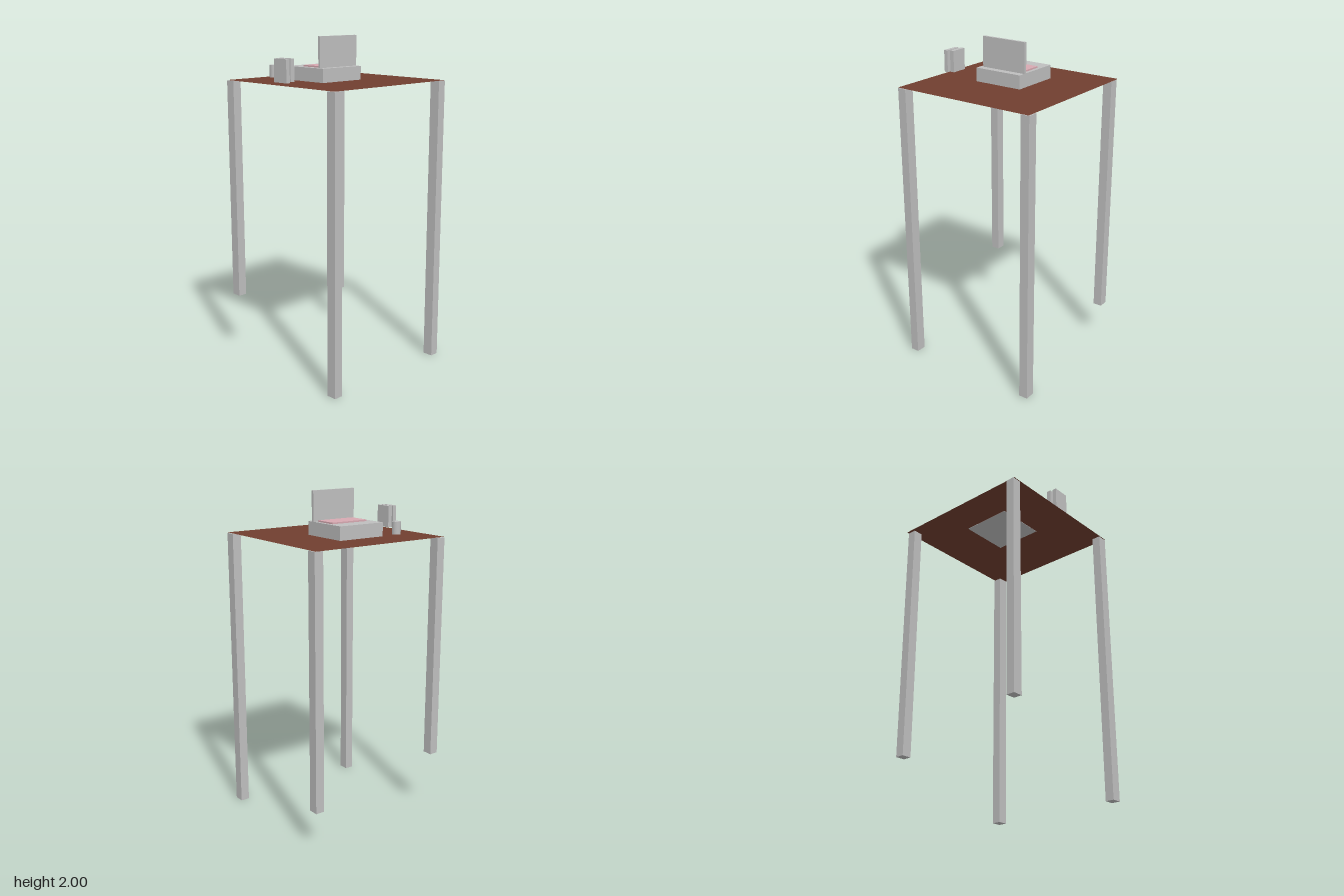
import * as THREE from 'three';

export function createModel() {
  const model = new THREE.Group();
  const grey = new THREE.MeshStandardMaterial({ name: 'light grey', color: 0xbebebe });
  const brown = new THREE.MeshStandardMaterial({ name: 'brown wood', color: 0x703e2f, side: THREE.DoubleSide });
  const pink = new THREE.MeshStandardMaterial({ name: 'pale pink', color: 0xd6a9b1 });

  // Box given by its lower and upper bounds on each axis
  function box(name, material, [x0, x1], [y0, y1], [z0, z1]) {
    const mesh = new THREE.Mesh(new THREE.BoxGeometry(x1 - x0, y1 - y0, z1 - z0), material);
    mesh.position.set((x0 + x1) / 2, (y0 + y1) / 2, (z0 + z1) / 2);
    mesh.name = name;
    model.add(mesh);
  }

  // Paper-thin table top
  const top = new THREE.Mesh(new THREE.PlaneGeometry(0.912, 0.912).rotateX(-Math.PI / 2), brown);
  top.position.set(-0.002, 1.739, 0.002);
  top.name = 'tableTop';
  model.add(top);

  // Legs: the two at the back are shorter
  box('frontRightLeg', grey, [-0.456, -0.402], [0, 1.736], [0.397, 0.459]);
  box('frontLeftLeg', grey, [0.402, 0.457], [0, 1.736], [0.393, 0.456]);
  box('backRightLeg', grey, [-0.456, -0.402], [0.397, 1.736], [-0.46, -0.4]);
  box('backLeftLeg', grey, [0.397, 0.452], [0.238, 1.736], [-0.441, -0.381]);

  // Computer: base (its underside shows through the top), keyboard, screen
  box('computerBase', grey, [-0.184, 0.125], [1.737, 1.82], [-0.228, 0.083]);
  box('keyboard', pink, [-0.145, 0.104], [1.82, 1.829], [-0.125, 0.012]);
  box('screen', grey, [-0.167, 0.129], [1.82, 2], [0.025, 0.041]);

  // Two upright books
  box('outerBook', grey, [-0.445, -0.42], [1.753, 1.885], [-0.04, 0.064]);
  box('innerBook', grey, [-0.406, -0.379], [1.757, 1.886], [-0.046, 0.056]);

  // Cup
  const cup = new THREE.Mesh(new THREE.CylinderGeometry(0.026, 0.026, 0.074, 12), grey);
  cup.position.set(-0.243, 1.79, -0.28);
  cup.name = 'cup';
  model.add(cup);

  return model;
}
